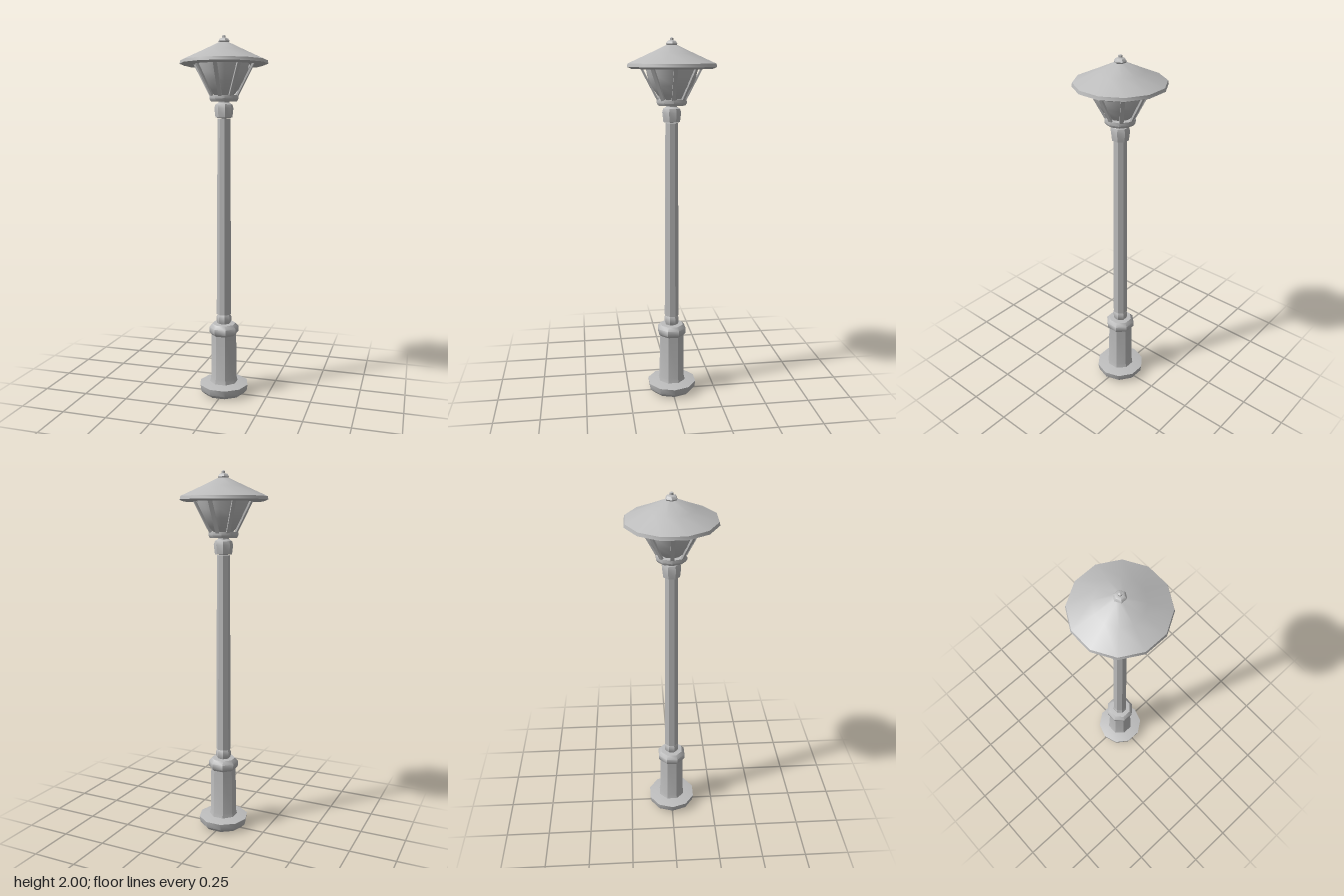
import * as THREE from 'three';
import { toCreasedNormals } from 'three/addons/utils/BufferGeometryUtils.js';

export function createModel() {
  const lamp = new THREE.Group();
  lamp.name = 'streetLamp';
  const metal = new THREE.MeshStandardMaterial({ color: 0xbcbcbc, side: THREE.DoubleSide });
  metal.name = 'grey metal';

  // Turned part from [radius, height] points, listed bottom to top
  function turned(name, points, sides, turn = Math.PI / sides) {
    const profile = points.map(([r, y]) => new THREE.Vector2(r, y));
    const geometry = new THREE.LatheGeometry(profile, sides, turn);
    const mesh = new THREE.Mesh(toCreasedNormals(geometry, 0.7), metal);
    mesh.name = name;
    lamp.add(mesh);
    return mesh;
  }

  // Foot and pedestal
  turned('foot', [[0, 0.005], [0.115, 0.01], [0.135, 0.03], [0.14, 0.065], [0.08, 0.075], [0, 0.075]], 10);
  turned('pedestal', [[0.08, 0.07], [0.073, 0.1], [0.07, 0.36]], 8);
  turned('pedestalCollar', [[0.068, 0.35], [0.082, 0.365], [0.083, 0.395], [0.066, 0.415], [0, 0.42]], 8);
  turned('poleSocket', [[0.034, 0.41], [0.042, 0.43], [0.042, 0.455], [0.034, 0.47], [0, 0.47]], 8);

  // Long pole and the collars under the lantern
  turned('pole', [[0, 0.465], [0.041, 0.47], [0.035, 1.56], [0, 1.56]], 8);
  turned('poleCollar', [[0, 1.56], [0.046, 1.565], [0.052, 1.615], [0.046, 1.635], [0.03, 1.645], [0.03, 1.66]], 8);
  turned('lanternSeat', [[0, 1.65], [0.074, 1.652], [0.082, 1.665], [0.08, 1.683], [0, 1.685]], 10);

  // Glass bowl, widening upwards
  turned('bowl', [[0.05, 1.68], [0.08, 1.71], [0.112, 1.755], [0.13, 1.8], [0.14, 1.85]], 10);

  // Sloping ribs around the bowl
  const low = new THREE.Vector3(0, 1.675, 0.07);
  const high = new THREE.Vector3(0, 1.85, 0.163);
  const span = high.clone().sub(low);
  const ribGeometry = new THREE.BoxGeometry(0.02, span.length(), 0.01);
  ribGeometry.rotateX(Math.atan2(span.z, span.y));
  ribGeometry.translate(0, (low.y + high.y) / 2, (low.z + high.z) / 2);
  const ribs = new THREE.Group();
  ribs.name = 'ribs';
  for (let i = 0; i < 8; i++) {
    const rib = new THREE.Mesh(ribGeometry, metal);
    rib.name = 'rib';
    rib.rotation.y = i * Math.PI / 4;
    ribs.add(rib);
  }
  lamp.add(ribs);

  // Wide conical roof with a hollow underside
  turned('roof', [[0.14, 1.855], [0.215, 1.84], [0.238, 1.85], [0.234, 1.867], [0.12, 1.918], [0.03, 1.96], [0, 1.962]], 12);

  // Finial
  turned('finial', [[0.022, 1.95], [0.032, 1.967], [0.024, 1.98], [0.01, 1.985], [0.01, 1.995], [0, 2.0]], 6);

  return lamp;
}
